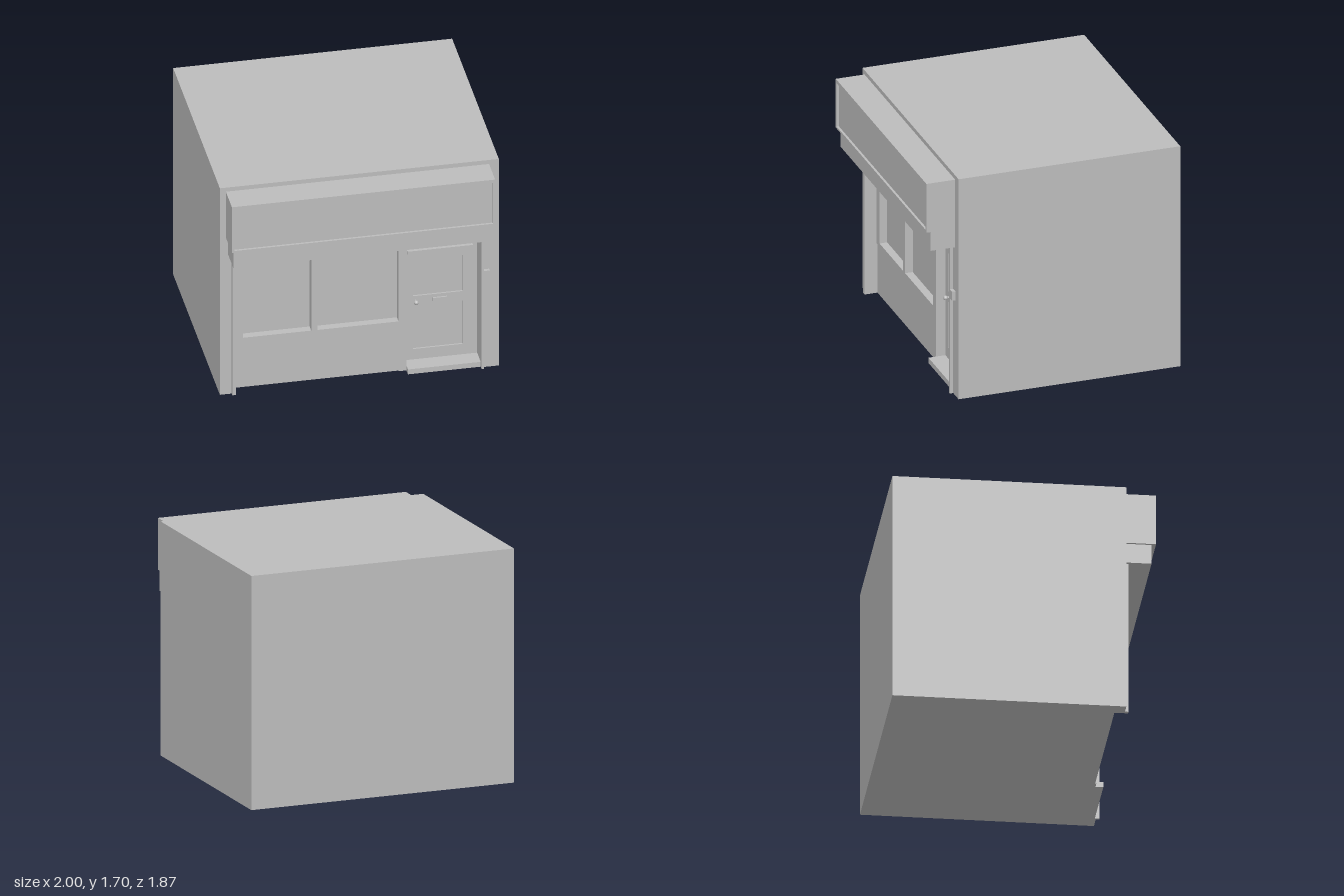
import * as THREE from 'three';

export function createModel() {
  const model = new THREE.Group();
  model.name = 'shop';
  const grey = new THREE.MeshStandardMaterial({ color: 0xbcbcbc });
  grey.name = 'plain grey';

  const add = (name, geometry) => {
    const mesh = new THREE.Mesh(geometry, grey);
    mesh.name = name;
    model.add(mesh);
    return mesh;
  };

  // Box given by its limits on each axis
  const box = (name, x0, x1, y0, y1, z0, z1) => {
    const g = new THREE.BoxGeometry(x1 - x0, y1 - y0, z1 - z0);
    g.translate((x0 + x1) / 2, (y0 + y1) / 2, (z0 + z1) / 2);
    return add(name, g);
  };

  const outline = (path, [x0, x1, y0, y1]) => {
    path.moveTo(x0, y0);
    path.lineTo(x1, y0);
    path.lineTo(x1, y1);
    path.lineTo(x0, y1);
    path.closePath();
    return path;
  };

  // Upright slab with rectangular openings, each [x0, x1, y0, y1]
  const panel = (name, rect, holes, z0, z1) => {
    const shape = outline(new THREE.Shape(), rect);
    shape.holes = holes.map((h) => outline(new THREE.Path(), h));
    const g = new THREE.ExtrudeGeometry(shape, { depth: z1 - z0, bevelEnabled: false });
    g.translate(0, 0, z0);
    return add(name, g);
  };

  // Building shell: rear block and a front wall with the shop opening
  box('rearBlock', -1, 1, 0, 1.7, -0.935, 0.565);
  const wall = new THREE.Shape();
  [[-1, 0], [-0.888, 0], [-0.888, 1.145], [0.888, 1.145], [0.888, 0], [1, 0], [1, 1.7], [-1, 1.7]]
    .forEach(([x, y], i) => (i ? wall.lineTo(x, y) : wall.moveTo(x, y)));
  wall.closePath();
  const wallGeometry = new THREE.ExtrudeGeometry(wall, { depth: 0.155, bevelEnabled: false });
  wallGeometry.translate(0, 0, 0.565);
  add('frontWall', wallGeometry);

  // Pilasters beside the opening
  box('leftPilaster', -0.915, -0.888, 0, 1.145, 0.70, 0.745);
  box('rightPilaster', 0.872, 0.888, 0, 1.145, 0.565, 0.745);

  // Shop window
  box('stallRiser', -0.888, 0.295, 0, 0.385, 0.565, 0.648);
  panel('windowFrame', [-0.888, 0.295, 0.385, 1.145],
    [[-0.82, -0.332, 0.41, 1.08], [-0.288, 0.294, 0.41, 1.08]], 0.565, 0.657);
  box('windowGlass', -0.83, 0.295, 0.40, 1.09, 0.565, 0.6);
  box('doorPost', 0.295, 0.35, 0, 1.145, 0.565, 0.657);

  // Door, transom window and threshold
  const doorPanels = [[0.412, 0.77, 0.125, 0.48], [0.412, 0.77, 0.56, 0.855]];
  panel('door', [0.35, 0.872, 0.04, 1.08],
    [...doorPanels, [0.37, 0.84, 0.91, 1.08 - 0.001]], 0.565, 0.585);
  doorPanels.forEach(([x0, x1, y0, y1]) => box('doorPanel', x0, x1, y0, y1, 0.56, 0.572));
  box('transomSill', 0.37, 0.84, 0.91, 0.94, 0.565, 0.6);
  box('doorHead', 0.35, 0.872, 1.08, 1.145, 0.565, 0.605);
  box('threshold', 0.35, 0.872, 0, 0.04, 0.565, 0.712);

  // Door fittings
  box('letterBox', 0.55, 0.655, 0.505, 0.535, 0.58, 0.597);
  const stem = add('knobStem', new THREE.CylinderGeometry(0.008, 0.008, 0.03, 12));
  stem.rotation.x = Math.PI / 2;
  stem.position.set(0.43, 0.522, 0.595);
  const knob = add('doorKnob', new THREE.SphereGeometry(0.017, 16, 12));
  knob.position.set(0.43, 0.522, 0.613);

  // Small box on the right wall
  box('wallBox', 0.888, 0.931, 0.735, 0.805, 0.71, 0.745);

  // Fascia and framed sign above the shop
  box('fascia', -0.94, 0.93, 1.145, 1.29, 0.72, 0.905);
  box('signBox', -0.957, 0.93, 1.29, 1.667, 0.72, 0.918);
  panel('signFrame', [-0.957, 0.93, 1.29, 1.667], [[-0.94, 0.915, 1.305, 1.64]], 0.918, 0.935);

  return model;
}
